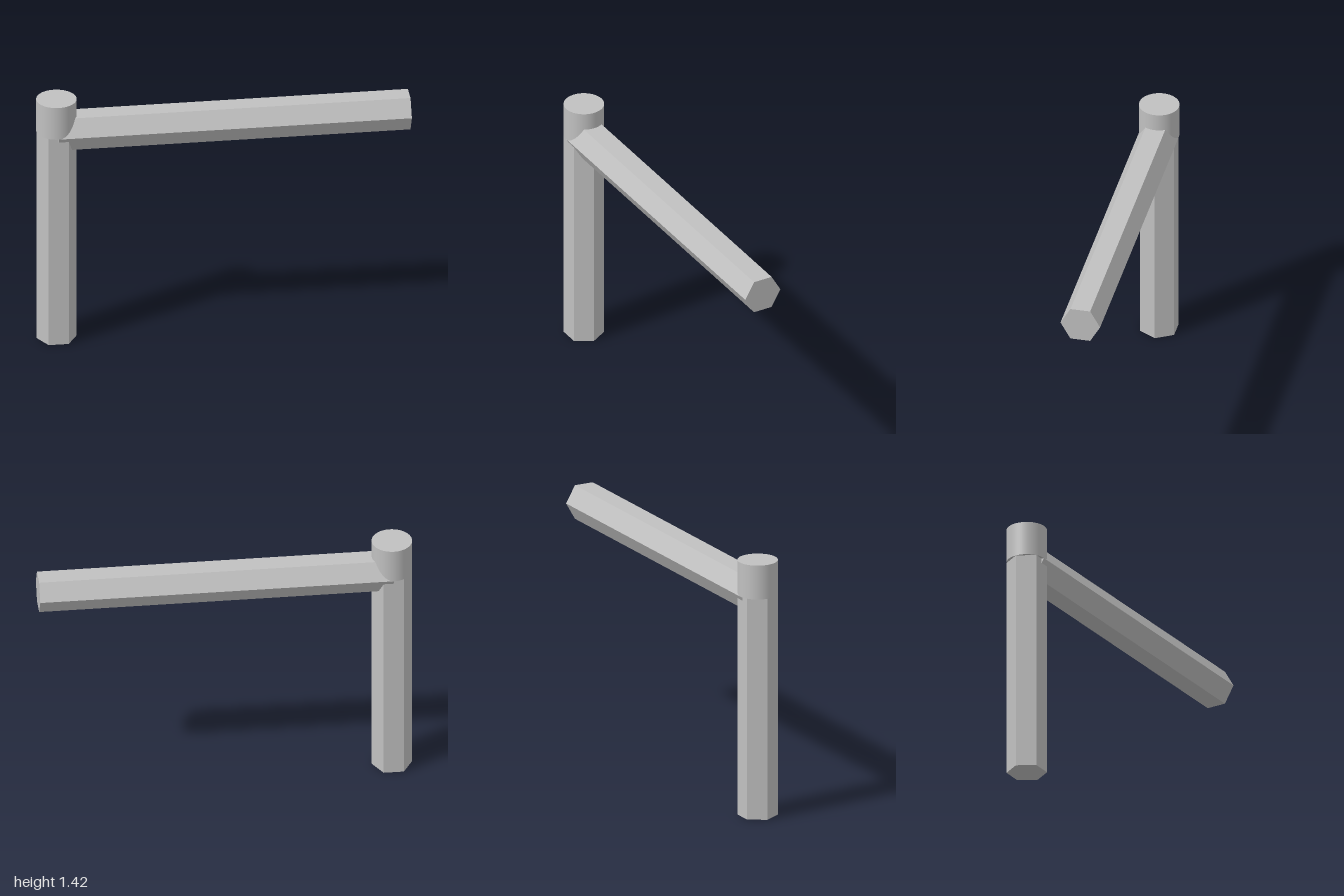
import * as THREE from 'three';

const R = 0.108;       // shared radius of post, arm and cap
const POST_X = -0.892; // post axis
const ARM_Y = 1.231;   // arm axis, also top of the post

export function createModel() {
  const group = new THREE.Group();
  const flatGrey = new THREE.MeshStandardMaterial({ color: 0xc0c0c0, flatShading: true });
  flatGrey.name = 'light grey';
  const smoothGrey = flatGrey.clone();
  smoothGrey.flatShading = false;
  smoothGrey.name = 'light grey smooth';

  const add = (name, geometry, material, x, y) => {
    const mesh = new THREE.Mesh(geometry, material);
    mesh.name = name;
    mesh.position.set(x, y, 0);
    group.add(mesh);
  };

  // Upright hexagonal post, corners pointing along x
  const post = new THREE.CylinderGeometry(R, R, ARM_Y, 6).rotateY(Math.PI / 6);
  add('post', post, flatGrey, POST_X, ARM_Y / 2);

  // Horizontal hexagonal arm, corners pointing along z
  const armLength = 1 - POST_X;
  const arm = new THREE.CylinderGeometry(R, R, armLength, 6).rotateZ(-Math.PI / 2);
  add('arm', arm, flatGrey, POST_X + armLength / 2, ARM_Y);

  // Round cap over the joint
  const capHeight = 1.42 - ARM_Y;
  add('cap', new THREE.CylinderGeometry(R, R, capHeight, 64), smoothGrey, POST_X, ARM_Y + capHeight / 2);

  return group;
}
